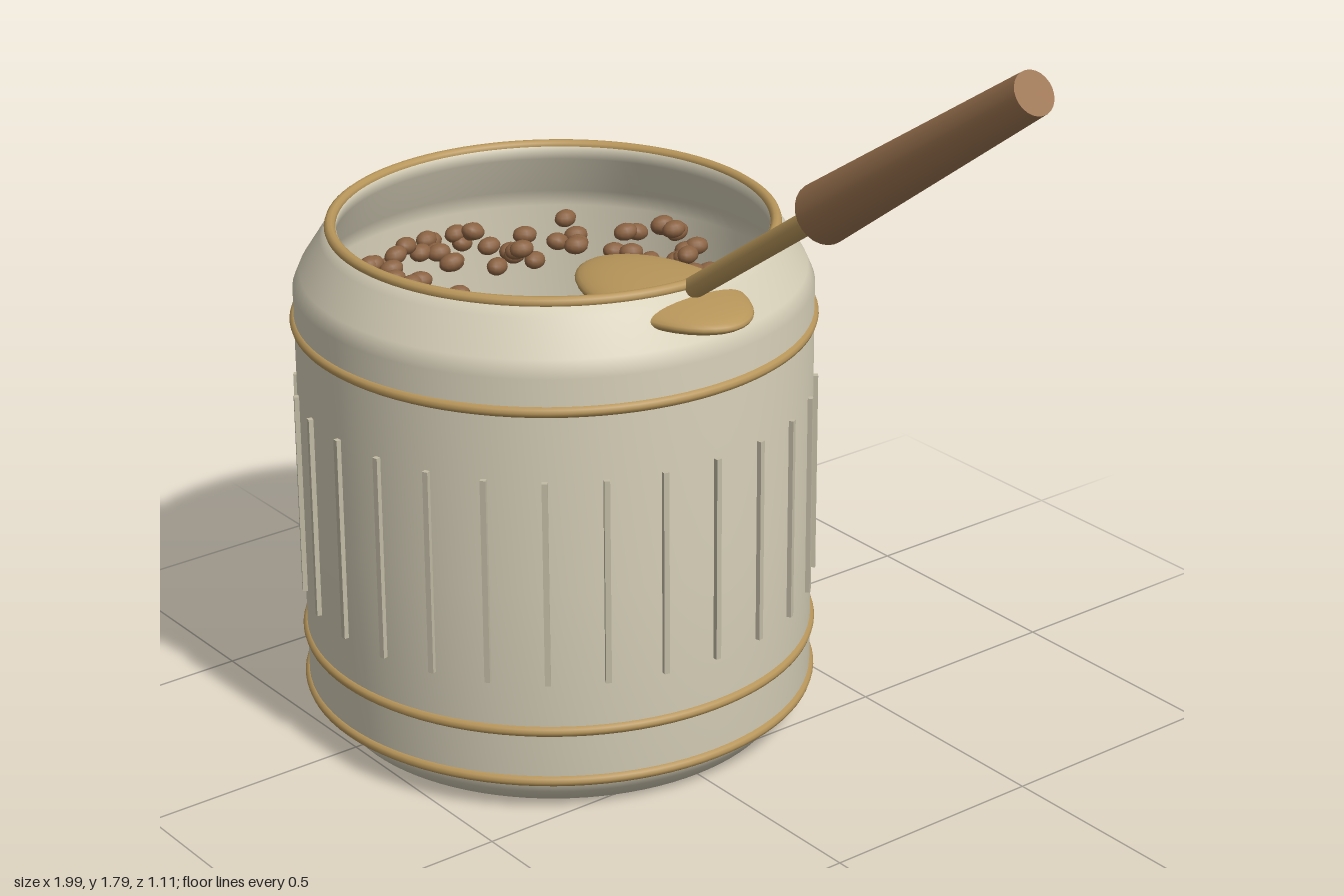
import * as THREE from 'three';

const material = (color) => new THREE.MeshStandardMaterial({ color });
const ceramic = material(0xd6cfb8);
ceramic.side = THREE.DoubleSide;
const ribPaint = material(0xc2bba5);
const brass = material(0xb8965a);
const wood = material(0x9c7450);
const beanBrown = material(0x8a6242);

function add(parent, name, geometry, mat) {
  const mesh = new THREE.Mesh(geometry, mat);
  mesh.name = name;
  parent.add(mesh);
  return mesh;
}

// Cylinder running between two points in the XY plane
function addRod(parent, name, from, to, rFrom, rTo, mat) {
  const a = new THREE.Vector3(...from, 0);
  const b = new THREE.Vector3(...to, 0);
  const dir = b.clone().sub(a);
  const rod = add(parent, name, new THREE.CylinderGeometry(rTo, rFrom, dir.length(), 24), mat);
  rod.position.copy(a).add(b).multiplyScalar(0.5);
  rod.quaternion.setFromUnitVectors(new THREE.Vector3(0, 1, 0), dir.normalize());
}

function seeded(seed) {
  return () => {
    seed = (seed * 16807) % 2147483647;
    return seed / 2147483647;
  };
}

export function createModel() {
  const model = new THREE.Group();
  const jar = new THREE.Group();
  jar.name = 'jar';
  jar.position.x = -0.445;
  model.add(jar);

  // Hollow body: outer wall, lip, then inner wall down to the floor
  const profile = [
    [0, 0], [0.485, 0], [0.51, 0.03], [0.545, 0.075], [0.545, 0.5], [0.545, 0.97],
    [0.53, 1.005], [0.485, 1.075], [0.47, 1.1], [0.45, 1.1],
    [0.455, 1.07], [0.5, 0.98], [0.515, 0.94], [0.515, 0.1], [0.47, 0.05], [0, 0.05],
  ].map(([r, y]) => new THREE.Vector2(r, y));
  add(jar, 'body', new THREE.LatheGeometry(profile, 96), ceramic);

  // Brass bands
  for (const [y, r] of [[0.075, 0.542], [0.19, 0.542], [0.9, 0.542], [1.1, 0.463]]) {
    const band = add(jar, 'band', new THREE.TorusGeometry(r, 0.012, 10, 96), brass);
    band.rotation.x = Math.PI / 2;
    band.position.y = y;
  }

  // Upright ribs around the body
  const ribCount = 28;
  const ribGeometry = new THREE.BoxGeometry(0.012, 0.45, 0.02);
  for (let i = 0; i < ribCount; i++) {
    const angle = (i / ribCount) * Math.PI * 2;
    const rib = add(jar, 'rib', ribGeometry, ribPaint);
    rib.position.set(Math.sin(angle) * 0.545, 0.525, Math.cos(angle) * 0.545);
    rib.rotation.y = angle;
  }

  // Scattered beans near the top of the jar
  const random = seeded(4217);
  const beanGeometry = new THREE.SphereGeometry(1, 12, 8);
  for (let i = 0; i < 115; i++) {
    const angle = random() * Math.PI * 2;
    const r = 0.1 + 0.32 * Math.sqrt(random());
    const bean = add(jar, 'bean', beanGeometry, beanBrown);
    bean.position.set(Math.cos(angle) * r, 0.92 + random() * 0.05, Math.sin(angle) * r);
    bean.scale.set(0.021, 0.019, 0.027);
    bean.rotation.set((random() - 0.5) * 0.6, (random() - 0.5) * 0.8, 0);
  }

  // Scoop: flattened bowl, brass shaft and tapered wooden grip
  const scoop = new THREE.Group();
  scoop.name = 'scoop';
  model.add(scoop);
  const bowl = add(scoop, 'scoopBowl', new THREE.SphereGeometry(1, 40, 20), brass);
  bowl.scale.set(0.235, 0.035, 0.137);
  bowl.position.set(-0.073, 1.05, 0);
  addRod(scoop, 'scoopShaft', [0.005, 1.08], [0.46, 1.396], 0.023, 0.023, brass);
  addRod(scoop, 'scoopGrip', [0.415, 1.365], [0.97, 1.75], 0.062, 0.043, wood);

  return model;
}
